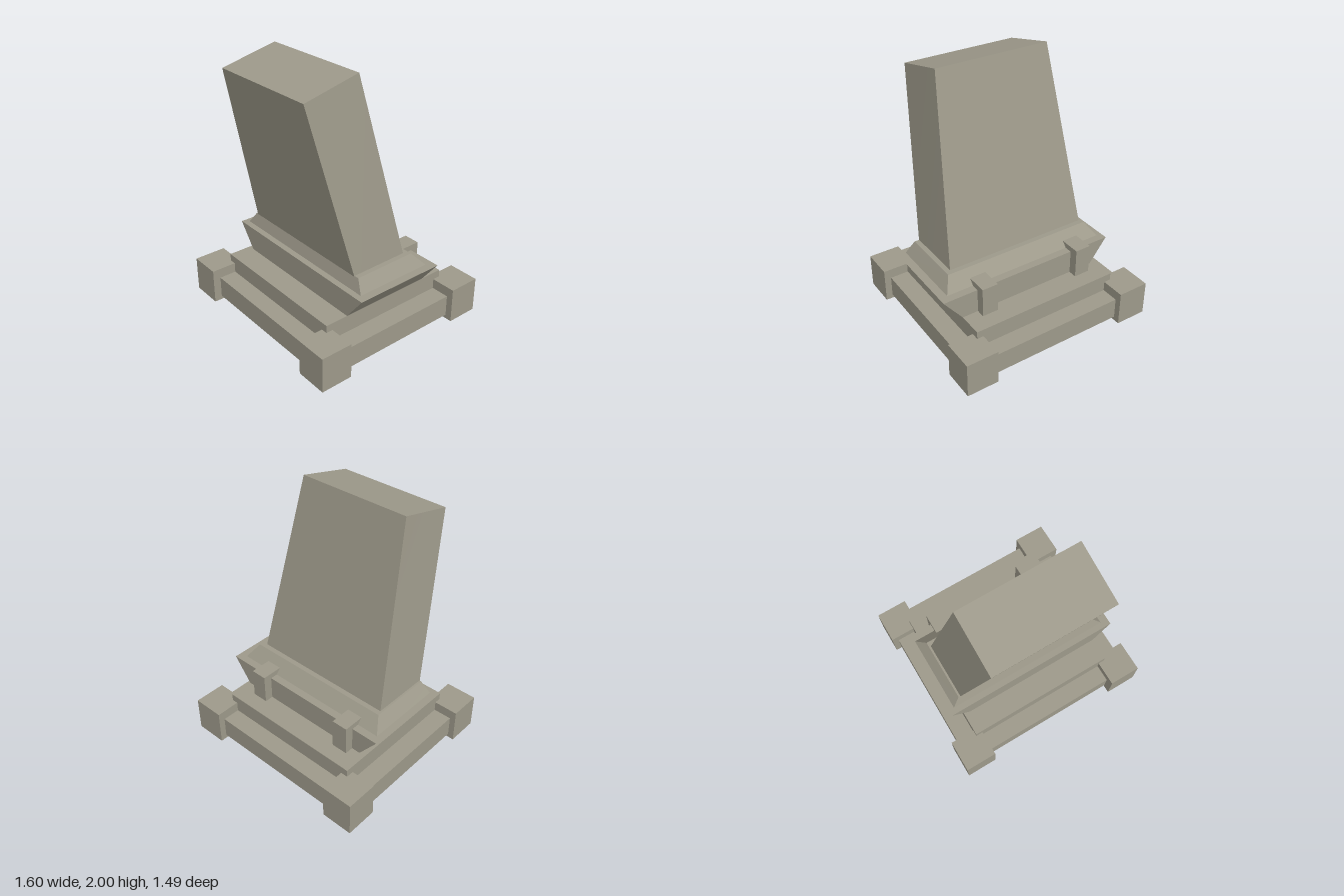
import * as THREE from 'three';

export function createModel() {
  const root = new THREE.Group();
  root.name = 'leaningStoneMonument';
  const stone = new THREE.MeshStandardMaterial({ color: 0x9d998a });
  stone.name = 'weathered stone';

  // Six-sided block whose bottom and top rectangles may differ: [x0, x1, z0, z1].
  // yBottom and yTop are [back, front] heights, so that ends can slope.
  function block(name, bottom, top, yBottom, yTop, parent = root) {
    const geo = new THREE.BoxGeometry(1, 1, 1);
    const p = geo.attributes.position;
    for (let i = 0; i < p.count; i++) {
      const isTop = p.getY(i) > 0;
      const rect = isTop ? top : bottom;
      const right = p.getX(i) > 0 ? 1 : 0;
      const front = p.getZ(i) > 0 ? 1 : 0;
      p.setXYZ(i, rect[right], (isTop ? yTop : yBottom)[front], rect[2 + front]);
    }
    geo.computeVertexNormals();
    const mesh = new THREE.Mesh(geo, stone);
    mesh.name = name;
    parent.add(mesh);
    return mesh;
  }

  const box = (name, rect, y0, y1, parent) => block(name, rect, rect, [y0, y0], [y1, y1], parent);

  // Corner posts
  const posts = new THREE.Group();
  posts.name = 'cornerPosts';
  root.add(posts);
  for (const x of [-0.8, 0.545]) {
    for (const z of [-0.745, 0.492]) {
      box('cornerPost', [x, x + 0.25, z, z + 0.25], 0, 0.275, posts);
    }
  }

  // Kerb beams between the posts, leaving the underside hollow
  const kerb = new THREE.Group();
  kerb.name = 'kerb';
  root.add(kerb);
  box('backBeam', [-0.6, 0.6, -0.695, -0.54], 0.03, 0.197, kerb);
  box('frontBeam', [-0.6, 0.6, 0.53, 0.682], 0.03, 0.197, kerb);
  box('leftBeam', [0.585, 0.742, -0.55, 0.54], 0.03, 0.197, kerb);
  box('rightBeam', [-0.752, -0.595, -0.55, 0.54], 0.03, 0.197, kerb);

  // Step on top of the kerb
  box('step', [-0.605, 0.595, -0.555, 0.545], 0.19, 0.333);

  // Pedestal flaring out sideways, with a bevelled cap
  block('pedestal', [-0.555, 0.595, -0.365, 0.363], [-0.702, 0.743, -0.365, 0.363],
    [0.333, 0.333], [0.523, 0.523]);
  block('pedestalCap', [-0.66, 0.68, -0.305, 0.315], [-0.595, 0.615, -0.215, 0.283],
    [0.523, 0.523], [0.622, 0.618]);

  // Two brackets at the back of the pedestal
  for (const x of [-0.485, 0.342]) {
    box('backBracket', [x, x + 0.127, -0.433, -0.265], 0.333, 0.565);
  }

  // Tapered slab leaning forward
  block('slab', [-0.58, 0.577, -0.176, 0.285], [-0.464, 0.443, 0.152, 0.592],
    [0.615, 0.612], [2.0, 1.895]);

  return root;
}
